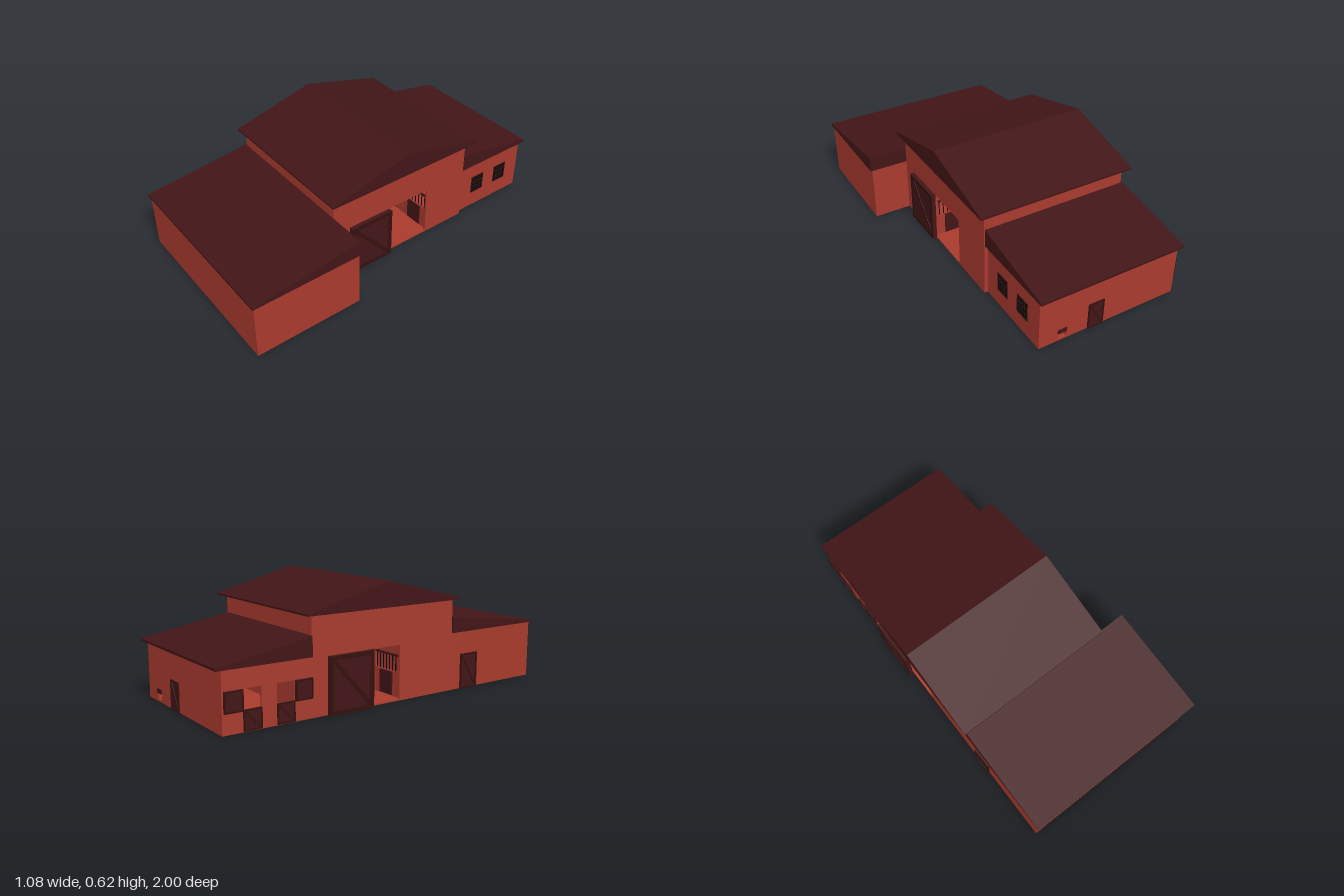
import * as THREE from 'three';

const T = 0.012; // wall thickness
const mat = (color) => new THREE.MeshStandardMaterial({ color, flatShading: true });

export function createModel() {
  const model = new THREE.Group();
  const red = mat(0xa83a2d), dark = mat(0x421517), trim = mat(0x35100f), black = mat(0x0c0a0b);

  const add = (parent, name, geo, material) => {
    const m = new THREE.Mesh(geo, material);
    m.name = name;
    parent.add(m);
    return m;
  };
  // Box given by its minimum and maximum corners
  const box = (parent, name, x0, x1, y0, y1, z0, z1, material) => {
    const m = add(parent, name, new THREE.BoxGeometry(x1 - x0, y1 - y0, z1 - z0), material);
    m.position.set((x0 + x1) / 2, (y0 + y1) / 2, (z0 + z1) / 2);
    return m;
  };
  const rect = (P, a, b, c, d) => {
    const p = new P();
    p.moveTo(a, c); p.lineTo(b, c); p.lineTo(b, d); p.lineTo(a, d); p.closePath();
    return p;
  };
  // Extrude a (z, y) outline along x from x0 to x1
  const extrudeX = (shape, x0, x1) => new THREE.ExtrudeGeometry(shape, { depth: x1 - x0, bevelEnabled: false })
    .rotateY(-Math.PI / 2).translate(x1, 0, 0);
  // Wall facing left or right, with openings [z0, z1, y0, y1]
  const sideWall = (name, x0, z0, z1, h, holes = []) => {
    const s = rect(THREE.Shape, z0, z1, 0, h);
    holes.forEach((o) => s.holes.push(rect(THREE.Path, ...o)));
    add(model, name, extrudeX(s, x0, x0 + T), red);
  };
  // Wall facing front or back, with openings [x0, x1, y0, y1]
  const crossWall = (name, z0, x0, x1, h, holes = []) => {
    const s = rect(THREE.Shape, x0, x1, 0, h);
    holes.forEach((o) => s.holes.push(rect(THREE.Path, ...o)));
    add(model, name, new THREE.ExtrudeGeometry(s, { depth: T, bevelEnabled: false }).translate(0, 0, z0), red);
  };
  const roof = (name, x0, x1, pts) =>
    add(model, name, extrudeX(new THREE.Shape(pts.map((p) => new THREE.Vector2(...p))), x0, x1), dark);

  // Floors
  box(model, 'frontWingFloor', -0.51, 0.53, 0, 0.008, 0.39, 0.99, red);
  box(model, 'mainFloor', -0.51, 0.32, 0, 0.008, -0.5, 0.39, red);
  box(model, 'backWingFloor', -0.51, 0.3, 0, 0.008, -0.97, -0.5, red);

  // Main hall
  const passage = [-0.235, 0.035, 0.008, 0.29];
  sideWall('mainLeftWall', 0.32 - T, -0.5, 0.39, 0.497, [passage]);
  sideWall('mainRightWall', -0.51, -0.5, 0.39, 0.497, [passage]);
  crossWall('mainFrontWall', 0.39 - T, -0.51, 0.32, 0.497);
  crossWall('mainBackWall', -0.5, -0.51, 0.32, 0.497);

  // Front wing
  sideWall('frontWingLeftWall', 0.53 - T, 0.39, 0.99, 0.312);
  sideWall('frontWingRightWall', -0.51, 0.39, 0.99, 0.312);
  crossWall('frontWingFrontWall', 0.99 - T, -0.51, 0.53, 0.312);
  crossWall('frontWingBackWall', 0.39, 0.32, 0.53, 0.312);

  // Back wing with two stable openings and a small hatch
  const stables = [[-0.865, -0.77, -1], [-0.69, -0.595, 1]];
  sideWall('backWingLeftWall', 0.3 - T, -0.97, -0.5, 0.297);
  sideWall('backWingRightWall', -0.51, -0.97, -0.5, 0.297, stables.map(([a, b]) => [a, b, 0.008, 0.2]));
  crossWall('backWingBackWall', -0.97, -0.51, 0.3, 0.297, [[0.145, 0.19, 0.012, 0.06]]);

  // Roofs as solid wedges with a thin eave
  roof('mainRoof', -0.54, 0.36,
    [[-0.54, 0.493], [0.42, 0.493], [0.42, 0.503], [-0.06, 0.625], [-0.54, 0.503]]);
  roof('frontWingRoof', -0.52, 0.54, [[0.39, 0.312], [1, 0.312], [1, 0.324], [0.39, 0.398]]);
  roof('backWingRoof', -0.52, 0.315, [[-0.5, 0.297], [-0.5, 0.398], [-1, 0.309], [-1, 0.297]]);

  // Framed plank door facing +z, standing on its own origin
  const door = (name, w, h, t, brace = true) => {
    const g = new THREE.Group(), f = Math.min(w, h) * 0.08, e = t + 0.003;
    g.name = name;
    box(g, 'doorPanel', -w / 2, w / 2, 0, h, 0, t, dark);
    for (const s of [-1, 1]) {
      const x = s * (w - f) / 2, y = h / 2 + s * (h - f) / 2;
      box(g, 'doorStile', x - f / 2, x + f / 2, 0, h, t, e, trim);
      box(g, 'doorRail', -w / 2 + f, w / 2 - f, y - f / 2, y + f / 2, t, e, trim);
    }
    if (brace) {
      const a = w - 2 * f, b = h - 2 * f;
      const m = box(g, 'doorBrace', -Math.hypot(a, b) / 2, Math.hypot(a, b) / 2, -f / 2, f / 2, t, t + 0.002, trim);
      m.position.y = h / 2;
      m.rotation.z = -Math.atan2(b, a);
    }
    model.add(g);
    return g;
  };
  const place = (g, x, y, z, turn) => {
    g.position.set(x, y, z);
    g.rotation.y = turn * Math.PI / 2;
  };

  // Sliding barn doors
  place(door('leftSlidingDoor', 0.26, 0.29, 0.022), 0.32, 0, 0.16, 1);
  place(door('rightSlidingDoor', 0.26, 0.29, 0.022), -0.513, 0, -0.28, -1);

  // Small entry doors
  place(door('frontWingDoor', 0.12, 0.19, 0.005), -0.51, 0, 0.515, -1);
  place(door('backWingDoor', 0.09, 0.15, 0.004), -0.025, 0, -0.97, 2);

  // Split stable doors: lower leaf closed, upper leaf folded back on the wall
  stables.forEach(([a, b, side]) => {
    const w = b - a, mid = (a + b) / 2;
    place(door('stableLowerDoor', w, 0.1, 0.008), -0.507, 0.004, mid, -1);
    place(door('stableUpperDoor', w, 0.1, 0.01, false), -0.51, 0.1, mid + side * (w + 0.002), -1);
  });

  // Hatch flap above the small opening
  box(model, 'hatchFlap', 0.142, 0.193, 0.045, 0.068, -0.975, -0.97, dark);

  // Barred windows on the back wing
  for (const z of [-0.645, -0.825]) {
    const g = new THREE.Group();
    g.name = 'window';
    model.add(g);
    box(g, 'windowPane', 0.298, 0.302, 0.095, 0.2, z - 0.045, z + 0.045, black);
    for (let i = 0; i <= 4; i++) {
      const c = z - 0.0435 + i * 0.02175;
      box(g, 'windowBar', 0.302, 0.304, 0.095, 0.2, c - 0.0015, c + 0.0015, trim);
    }
    for (let i = 0; i <= 3; i++) {
      const y = 0.0965 + i * 0.034;
      box(g, 'windowCrossBar', 0.302, 0.304, y - 0.0015, y + 0.0015, z - 0.045, z + 0.045, trim);
    }
  }

  // Stall fronts on both sides of the central passage
  for (const [z, inward] of [[0.05, -1], [-0.25, 1]]) {
    box(model, 'stallFront', -0.498, 0.308, 0.008, 0.14, z - 0.005, z + 0.005, red);
    box(model, 'stallTopRail', -0.498, 0.308, 0.22, 0.23, z - 0.005, z + 0.005, dark);
    for (let i = 0; i < 4; i++) {
      const x = -0.39 + i * 0.2;
      const zf = z + inward * 0.007;
      box(model, 'stallDoor', x - 0.05, x + 0.05, 0.012, 0.135, zf - 0.003, zf + 0.003, dark);
      box(model, 'stallPost', x + 0.09, x + 0.102, 0.008, 0.23, z - 0.007, z + 0.007, red);
    }
    for (let i = 0; i < 32; i++) {
      const x = -0.485 + i * 0.025;
      box(model, 'stallBar', x - 0.002, x + 0.002, 0.14, 0.22, z - 0.002, z + 0.002, black);
    }
  }
  return model;
}
